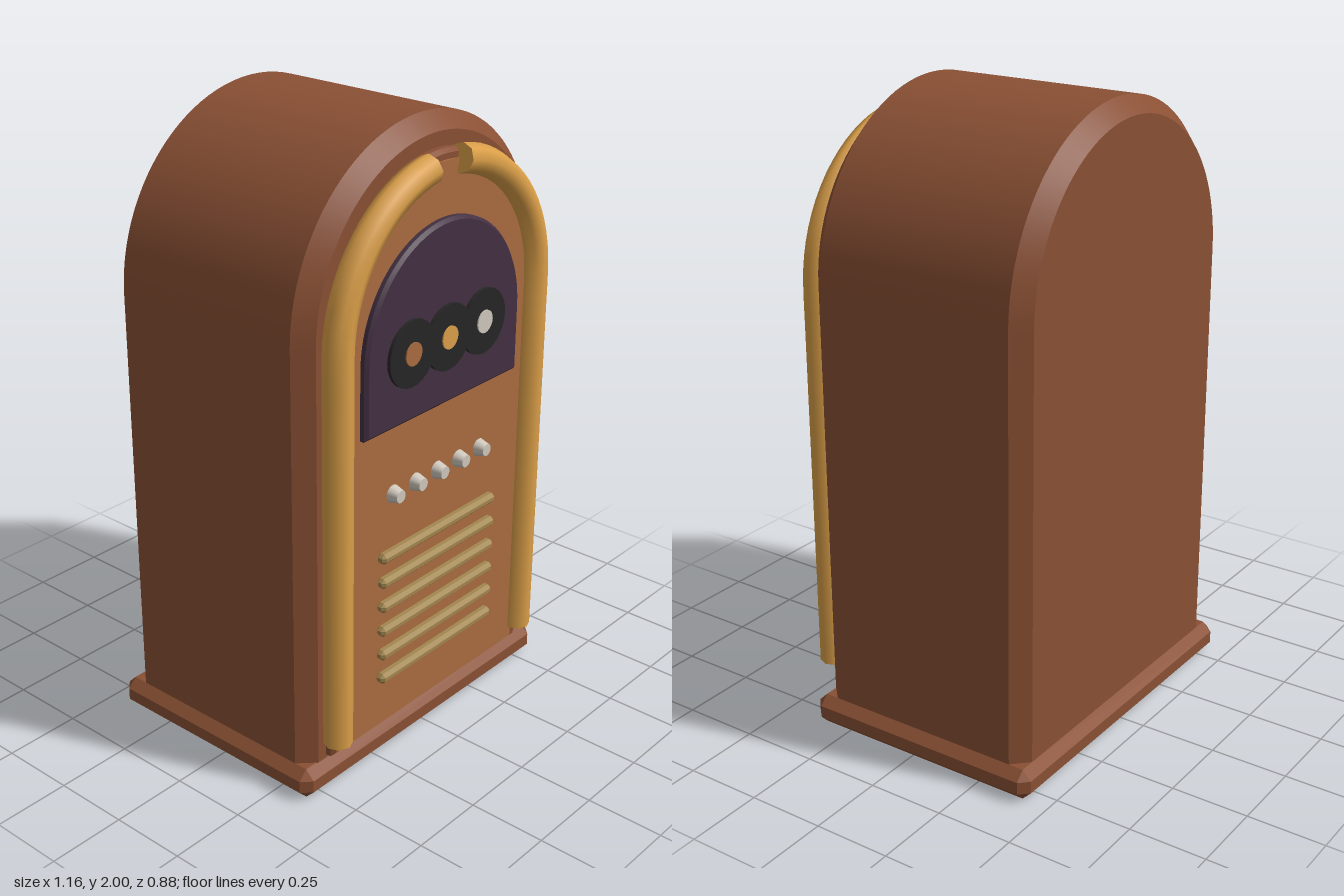
import * as THREE from 'three';
import { toCreasedNormals } from 'three/addons/utils/BufferGeometryUtils.js';
import { ConvexGeometry } from 'three/addons/geometries/ConvexGeometry.js';

const paint = (name, color) => {
  const m = new THREE.MeshStandardMaterial({ color });
  m.name = name;
  return m;
};

// Round-topped slab between z0 and z1 with a 45 degree chamfer c on both faces
function archSlab(halfWidth, bottom, springY, z0, z1, c) {
  const r = halfWidth - c;
  const s = new THREE.Shape();
  s.moveTo(-r, bottom + c);
  s.lineTo(r, bottom + c);
  s.lineTo(r, springY);
  s.absarc(0, springY, r, 0, Math.PI, false);
  s.closePath();
  const g = new THREE.ExtrudeGeometry(s, {
    depth: z1 - z0 - 2 * c, curveSegments: 24, bevelEnabled: c > 0,
    bevelSize: c, bevelThickness: c, bevelSegments: 1,
  });
  g.translate(0, 0, z0 + c);
  return toCreasedNormals(g, 0.5);
}

// Box with every edge chamfered by c
function chamferBox(w, h, d, c) {
  const pts = [];
  for (const x of [-1, 1]) for (const y of [-1, 1]) for (const z of [-1, 1]) {
    for (let k = 0; k < 3; k++) {
      pts.push(new THREE.Vector3(
        x * (w / 2 - (k === 0 ? 0 : c)),
        y * (h / 2 - (k === 1 ? 0 : c)),
        z * (d / 2 - (k === 2 ? 0 : c))));
    }
  }
  return new ConvexGeometry(pts);
}

// Disc facing +z
function disc(rFront, rBack, depth, sides) {
  return toCreasedNormals(new THREE.CylinderGeometry(rFront, rBack, depth, sides).rotateX(Math.PI / 2), 0.6);
}

export function createModel() {
  const model = new THREE.Group();
  model.name = 'jukebox';
  const wood = paint('wood', 0x8a5034);
  const panelTan = paint('panelTan', 0xa96c40);
  const gold = paint('gold', 0xdb9f48);
  const brass = paint('brass', 0xa2864e);
  const plum = paint('plum', 0x433042);
  const black = paint('black', 0x262626);
  const silver = paint('silver', 0xcfc8bd);

  const add = (name, geometry, material, x = 0, y = 0, z = 0, parent = model) => {
    const m = new THREE.Mesh(geometry, material);
    m.name = name;
    m.position.set(x, y, z);
    parent.add(m);
    return m;
  };

  // Cabinet and plinth
  add('cabinet', archSlab(0.55, 0.05, 1.45, -0.41, 0.35, 0.05), wood);
  add('plinth', chamferBox(1.16, 0.1, 0.815, 0.03), wood, 0, 0.05, -0.0325);

  // Front frame with the tan panel laid on it
  add('frontFrame', archSlab(0.465, 0.112, 1.44, 0.33, 0.38, 0.012), wood);
  add('frontPanel', archSlab(0.425, 0.13, 1.45, 0.37, 0.386, 0), panelTan);

  // Display window
  add('window', archSlab(0.357, 1.138, 1.355, 0.37, 0.41, 0.01), plum);

  // Records with coloured labels
  [panelTan, gold, silver].forEach((label, i) => {
    const x = (i - 1) * 0.167;
    add('record', disc(0.103, 0.103, 0.016, 28), black, x, 1.355, 0.413);
    add('recordLabel', disc(0.036, 0.036, 0.008, 20), label, x, 1.355, 0.421);
  });

  // Selector buttons
  for (let i = -2; i <= 2; i++) {
    add('button', disc(0.02, 0.029, 0.034, 14), silver, i * 0.104, 0.915, 0.402);
  }

  // Speaker grille bars
  for (let i = 0; i < 6; i++) {
    add('grilleBar', chamferBox(0.55, 0.034, 0.036, 0.011), brass, 0, 0.305 + i * 0.0835, 0.396);
  }

  // Glowing side tubes, curving over the top and stopping short of the middle
  for (const side of [1, -1]) {
    const tube = new THREE.Group();
    tube.name = side > 0 ? 'leftTube' : 'rightTube';
    model.add(tube);
    const R = 0.455, z = 0.39, springY = 1.42, pts = [];
    for (const y of [0.17, 0.6, 1.0, 1.3]) pts.push(new THREE.Vector3(side * R, y, z));
    for (let i = 0; i <= 10; i++) {
      const a = (i / 10) * (Math.PI / 2 - 0.15);
      pts.push(new THREE.Vector3(side * R * Math.cos(a), springY + R * Math.sin(a), z));
    }
    const path = new THREE.CatmullRomCurve3(pts);
    add('tubeBody', new THREE.TubeGeometry(path, 48, 0.045, 8, false), gold, 0, 0, 0, tube);
    for (const [t, dir] of [[0, -1], [1, 1]]) {
      const p = path.getPointAt(t);
      const cap = add('tubeEnd', new THREE.CircleGeometry(0.045, 8), gold, p.x, p.y, p.z, tube);
      cap.lookAt(p.clone().addScaledVector(path.getTangentAt(t), dir));
    }
  }
  return model;
}
